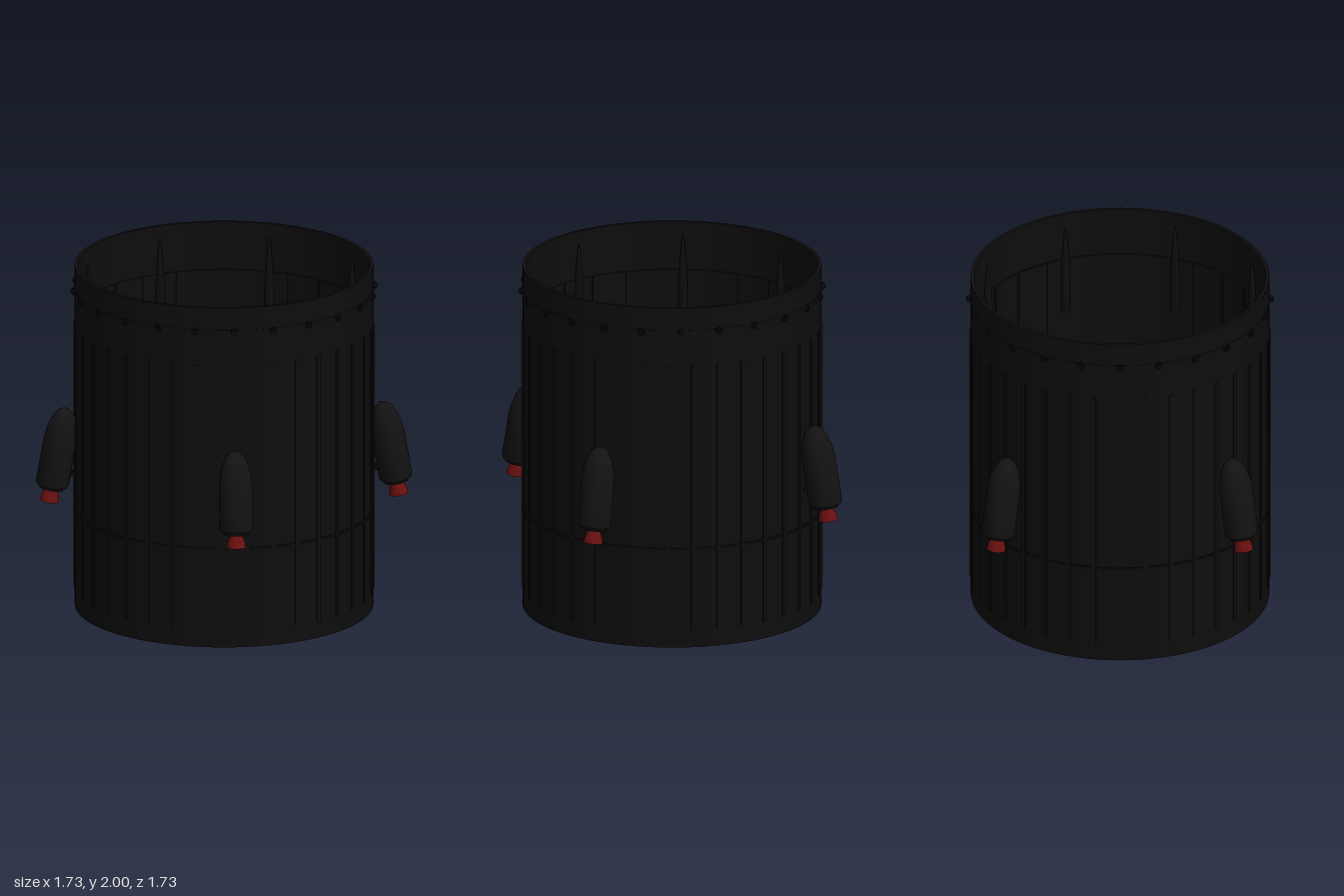
import * as THREE from 'three';
import { toCreasedNormals } from 'three/addons/utils/BufferGeometryUtils.js';

const material = (name, color) => {
  const m = new THREE.MeshStandardMaterial({ color });
  m.name = name;
  return m;
};

const lathe = (points, sides, crease = 0.6) => toCreasedNormals(
  new THREE.LatheGeometry(points.map(([r, y]) => new THREE.Vector2(r, y)), sides), crease);

// closed ring with a rectangular section
const ring = (inner, outer, y0, y1) =>
  lathe([[outer, y0], [outer, y1], [inner, y1], [inner, y0], [outer, y0]], 96);

export function createModel() {
  const model = new THREE.Group();
  model.name = 'interstage';

  const black = material('carbon black', 0x0d0d0d);
  const charcoal = material('charcoal', 0x131313);
  const dark = material('fastener black', 0x080808);
  const red = material('nozzle red', 0x6a1010);

  const add = (parent, name, geometry, mat, x = 0, y = 0, z = 0) => {
    const mesh = new THREE.Mesh(geometry, mat);
    mesh.name = name;
    mesh.position.set(x, y, z);
    parent.add(mesh);
    return mesh;
  };

  // repeats a part around the axis; local +z points outwards
  const around = (count, offset, name, build) => {
    for (let i = 0; i < count; i++) {
      const spoke = new THREE.Group();
      spoke.name = name;
      spoke.rotation.y = offset + (i / count) * Math.PI * 2;
      build(spoke);
      model.add(spoke);
    }
  };

  // main shell, inner liner and hoops
  add(model, 'shell', ring(0.822, 0.842, 0, 2), black);
  add(model, 'innerLiner', ring(0.813, 0.823, 0.18, 1.72), black);
  add(model, 'lowerHoop', ring(0.838, 0.848, 0.573, 0.587), dark);
  add(model, 'upperHoop', ring(0.838, 0.845, 1.85, 1.87), black);

  // stringers outside and ribs inside
  const stringer = new THREE.BoxGeometry(0.022, 1.56, 0.014);
  around(36, 0, 'outerStringer', (g) => add(g, 'stringer', stringer, black, 0, 0.88, 0.841));
  const rib = new THREE.BoxGeometry(0.012, 1.54, 0.008);
  around(24, 0, 'innerRib', (g) => add(g, 'rib', rib, black, 0, 0.95, 0.811));

  // bolts around the upper joint
  const shank = new THREE.CylinderGeometry(0.013, 0.013, 0.03, 8).rotateX(Math.PI / 2);
  const head = new THREE.CylinderGeometry(0.022, 0.022, 0.012, 6).rotateX(Math.PI / 2);
  around(24, 0, 'bolt', (g) => {
    add(g, 'boltShank', shank, dark, 0, 1.86, 0.852);
    add(g, 'boltHead', head, dark, 0, 1.86, 0.853);
  });

  // pointed pushers on the inner wall
  const pusher = lathe([[0, 1.4], [0.027, 1.4], [0.027, 1.64], [0.018, 1.78], [0.008, 1.9], [0, 1.93]], 12);
  around(8, Math.PI / 8, 'pusher', (g) => add(g, 'pusherRod', pusher, black, 0, 0, 0.806));

  // four canted rocket pods with red nozzles
  const pod = lathe([
    [0, 0], [0.088, 0], [0.095, 0.015], [0.095, 0.27], [0.088, 0.33],
    [0.072, 0.39], [0.048, 0.435], [0.022, 0.455], [0, 0.46],
  ], 14);
  const collar = new THREE.CylinderGeometry(0.075, 0.07, 0.025, 14);
  const nozzle = lathe([
    [0.03, -0.09], [0.055, -0.09], [0.052, -0.065], [0.036, -0.02], [0.03, 0], [0, 0],
  ], 12);
  const nozzleFloor = new THREE.CircleGeometry(0.05, 12).rotateX(Math.PI / 2);
  const strut = new THREE.BoxGeometry(0.04, 0.03, 0.1);
  around(4, Math.PI / 4, 'rocketPod', (g) => {
    const body = new THREE.Group();
    body.name = 'podBody';
    body.position.set(0, 0.72, 0.972);
    body.rotation.x = -0.17;
    add(body, 'podShell', pod, charcoal);
    add(body, 'podCollar', collar, dark, 0, -0.005, 0);
    add(body, 'nozzle', nozzle, red, 0, -0.002, 0);
    add(body, 'nozzleFloor', nozzleFloor, red, 0, -0.088, 0);
    g.add(body);
    for (const y of [0.79, 1.02]) add(g, 'podStrut', strut, dark, 0, y, 0.87);
  });

  return model;
}
